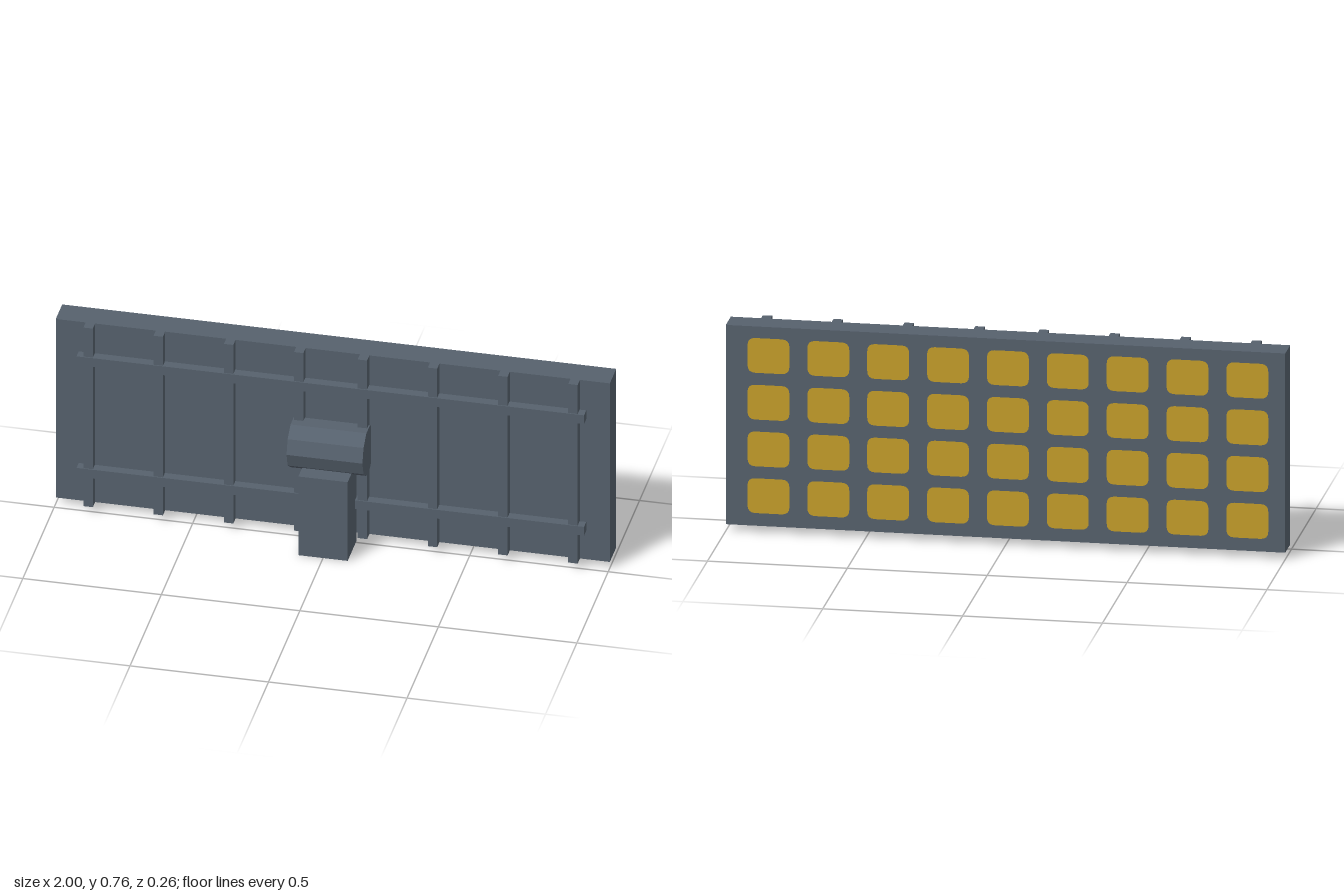
import * as THREE from 'three';

export function createModel() {
  const model = new THREE.Group();
  model.name = 'panelArray';

  const steel = new THREE.MeshStandardMaterial({ color: 0x56616d, flatShading: true });
  steel.name = 'slate steel';
  const gold = new THREE.MeshStandardMaterial({ color: 0xc69f2a });
  gold.name = 'gold cell';

  const add = (name, geometry, material, x, y, z) => {
    const mesh = new THREE.Mesh(geometry, material);
    mesh.name = name;
    mesh.position.set(x, y, z);
    model.add(mesh);
    return mesh;
  };
  // Box given by its lower and upper limits on each axis
  const box = (name, [x0, x1], [y0, y1], [z0, z1]) =>
    add(name, new THREE.BoxGeometry(x1 - x0, y1 - y0, z1 - z0), steel,
      (x0 + x1) / 2, (y0 + y1) / 2, (z0 + z1) / 2);

  // Main slab
  box('panel', [-1, 1], [0.025, 0.758], [-0.128, -0.026]);

  // Upright ribs on the front, mirrored about the centre
  for (const x of [0.115, 0.368, 0.622, 0.875]) {
    for (const s of [-1, 1]) {
      box('uprightRib', [s * x - 0.017, s * x + 0.017], [0.025, 0.758], [-0.026, 0.01]);
    }
  }

  // Long cross rails
  for (const y of [0.163, 0.621]) {
    box('crossRail', [-0.916, 0.916], [y - 0.018, y + 0.018], [-0.021, 0.014]);
  }

  // Ten-sided pivot drum and its post
  const drum = new THREE.CylinderGeometry(0.092, 0.092, 0.274, 10);
  drum.rotateZ(Math.PI / 2);
  add('pivotDrum', drum, steel, 0, 0.392, 0.015);
  box('post', [-0.089, 0.089], [0, 0.323], [-0.008, 0.13]);

  // Rounded cells on the back
  const w = 0.075, h = 0.064, r = 0.028;
  const outline = new THREE.Shape();
  outline.moveTo(-w + r, -h);
  outline.lineTo(w - r, -h);
  outline.quadraticCurveTo(w, -h, w, -h + r);
  outline.lineTo(w, h - r);
  outline.quadraticCurveTo(w, h, w - r, h);
  outline.lineTo(-w + r, h);
  outline.quadraticCurveTo(-w, h, -w, h - r);
  outline.lineTo(-w, -h + r);
  outline.quadraticCurveTo(-w, -h, -w + r, -h);
  const cell = new THREE.ShapeGeometry(outline, 4);
  cell.rotateY(Math.PI);
  for (let row = 0; row < 4; row++) {
    for (let col = 0; col < 9; col++) {
      add('cell', cell, gold, -0.009 + (col - 4) * 0.214, 0.136 + row * 0.172, -0.13);
    }
  }

  return model;
}
